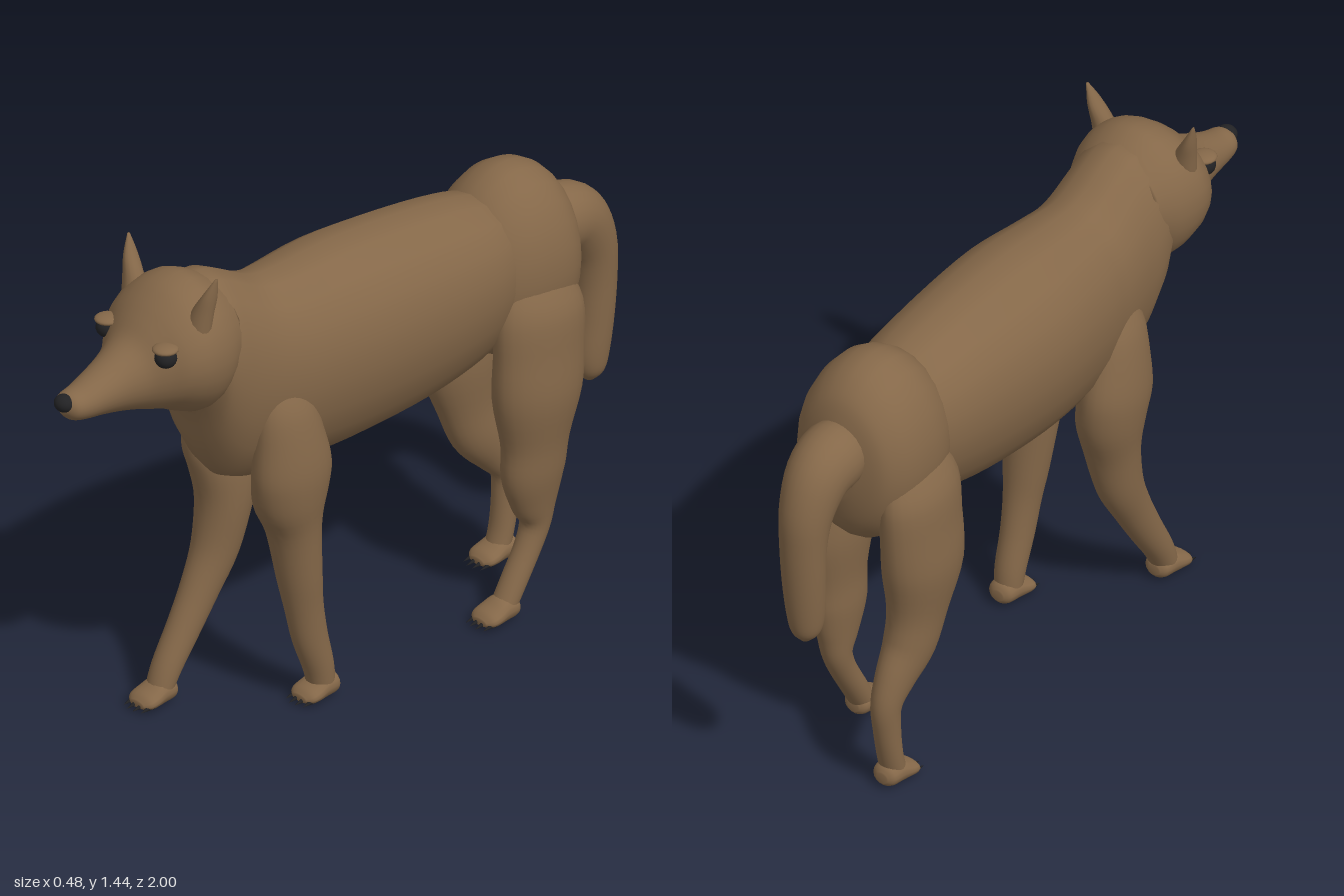
import * as THREE from 'three';

const fur = new THREE.MeshStandardMaterial({ color: 0x856849 });
fur.name = 'brown fur';
const dark = new THREE.MeshStandardMaterial({ color: 0x222224 });
dark.name = 'dark horn';

// Smooth interpolation of a list of sections, component by component
function refine(list, steps) {
  const out = [];
  const at = (i) => list[Math.max(0, Math.min(list.length - 1, i))];
  for (let i = 0; i < list.length - 1; i++) {
    for (let k = 0; k < steps; k++) {
      const t = k / steps;
      out.push(list[i].map((p1, c) => {
        const p0 = at(i - 1)[c], p2 = at(i + 1)[c], p3 = at(i + 2)[c];
        return 0.5 * (2 * p1 + (p2 - p0) * t + (2 * p0 - 5 * p1 + 4 * p2 - p3) * t * t
          + (3 * p1 - p0 - 3 * p2 + p3) * t * t * t);
      }));
    }
  }
  out.push(list[list.length - 1]);
  return out;
}

// Skin over oval sections [x, y, z, half width, half depth].
// Upright sections stay vertical; others turn with the path.
function loft(name, list, { upright = false, egg = 0, sides = 24, steps = 4 } = {}) {
  const rings = refine(list, steps);
  const pos = [], index = [], last = rings.length - 1;
  rings.forEach(([x, y, z, a, b], i) => {
    const p = rings[Math.max(0, i - 1)], q = rings[Math.min(last, i + 1)];
    const ty = q[1] - p[1], tz = q[2] - p[2], len = Math.hypot(ty, tz) || 1;
    const vy = upright ? 1 : tz / len, vz = upright ? 0 : -ty / len;
    for (let j = 0; j < sides; j++) {
      const t = (j / sides) * Math.PI * 2, s = Math.sin(t);
      pos.push(x + a * Math.cos(t) * (1 + egg * s), y + vy * b * s, z + vz * b * s);
    }
  });
  for (let i = 0; i < last; i++) {
    for (let j = 0; j < sides; j++) {
      const k = (j + 1) % sides;
      const A = i * sides + j, B = i * sides + k, C = A + sides, D = B + sides;
      index.push(A, B, C, B, D, C);
    }
  }
  // end caps
  const start = pos.length / 3;
  pos.push(...rings[0].slice(0, 3), ...rings[last].slice(0, 3));
  for (let j = 0; j < sides; j++) {
    const k = (j + 1) % sides;
    index.push(start, k, j, start + 1, last * sides + j, last * sides + k);
  }
  const g = new THREE.BufferGeometry();
  g.setAttribute('position', new THREE.Float32BufferAttribute(pos, 3));
  g.setIndex(index);
  g.computeVertexNormals();
  const m = new THREE.Mesh(g, fur);
  m.name = name;
  return m;
}

// Upright section from [z, top, bottom, half width]
const slice = (x) => ([z, top, bottom, w]) => [x, (top + bottom) / 2, z, w, (top - bottom) / 2];

function ball(name, material, x, y, z, rx, ry, rz) {
  const m = new THREE.Mesh(new THREE.SphereGeometry(1, 20, 14), material);
  m.name = name;
  m.position.set(x, y, z);
  m.scale.set(rx, ry, rz);
  return m;
}

// Leg with paw and four claws; sections are [x, y, z, half width, half depth]
function leg(name, side, sections, pawZ) {
  const g = new THREE.Group();
  g.name = name;
  g.add(loft(name + 'Limb', sections.map(([x, ...r]) => [side * x, ...r])));
  const x = side * 0.132;
  g.add(loft('paw', [
    [-0.055, 0.05, 0.02, 0.018], [-0.04, 0.07, 0.006, 0.038], [0, 0.075, 0.002, 0.045],
    [0.035, 0.058, 0.002, 0.05], [0.06, 0.045, 0.004, 0.046], [0.075, 0.03, 0.012, 0.026],
  ].map(([z, ...r]) => slice(x)([z + pawZ, ...r])), { upright: true, sides: 16 }));
  for (let i = 0; i < 4; i++) {
    const off = (i - 1.5) * 0.023;
    const claw = new THREE.Mesh(new THREE.ConeGeometry(0.01, 0.045, 8), dark);
    claw.name = 'claw';
    claw.position.set(x + off, 0.016, pawZ + 0.083 - Math.abs(off) * 0.4);
    claw.rotation.x = Math.PI / 2 + 0.2;
    g.add(claw);
  }
  return g;
}

export function createModel() {
  const model = new THREE.Group();
  model.name = 'wolf';
  const upright = true;

  // torso, chest and neck
  model.add(loft('torso', [
    [-0.56, 1.22, 0.80, 0.15], [-0.45, 1.255, 0.75, 0.185], [-0.25, 1.28, 0.705, 0.205],
    [0, 1.292, 0.685, 0.215], [0.2, 1.28, 0.685, 0.195], [0.3, 1.285, 0.685, 0.178],
    [0.4, 1.335, 0.705, 0.17], [0.46, 1.36, 0.75, 0.17], [0.505, 1.36, 0.83, 0.165],
    [0.53, 1.35, 0.93, 0.155], [0.56, 1.33, 1.0, 0.13],
  ].map(slice(0)), { upright, egg: 0.12, sides: 20 }));

  // rump
  model.add(loft('rump', [
    [-0.44, 1.18, 0.82, 0.13], [-0.5, 1.25, 0.77, 0.17], [-0.56, 1.29, 0.74, 0.19],
    [-0.62, 1.302, 0.73, 0.195], [-0.68, 1.29, 0.74, 0.19], [-0.73, 1.26, 0.77, 0.172],
    [-0.77, 1.21, 0.83, 0.135], [-0.795, 1.13, 0.93, 0.06],
  ].reverse().map(slice(0)), { upright }));

  // tail
  model.add(loft('tail', [
    [0, 1.06, -0.72, 0.08, 0.08], [0, 1.065, -0.8, 0.095, 0.1], [0, 1.035, -0.87, 0.088, 0.095],
    [0, 0.95, -0.92, 0.075, 0.078], [0, 0.85, -0.935, 0.066, 0.065], [0, 0.73, -0.932, 0.06, 0.06],
    [0, 0.62, -0.922, 0.052, 0.056], [0, 0.56, -0.922, 0.04, 0.042], [0, 0.53, -0.924, 0.012, 0.014],
  ]));

  // head and muzzle
  const head = new THREE.Group();
  head.name = 'head';
  head.add(loft('skull', [
    [0.46, 1.34, 1.04, 0.15], [0.51, 1.37, 0.99, 0.178], [0.56, 1.385, 0.975, 0.192],
    [0.62, 1.37, 0.995, 0.194], [0.67, 1.335, 1.02, 0.175], [0.71, 1.295, 1.03, 0.14],
    [0.75, 1.25, 1.04, 0.105], [0.8, 1.22, 1.05, 0.08], [0.86, 1.19, 1.06, 0.066],
    [0.92, 1.165, 1.067, 0.055], [0.96, 1.155, 1.078, 0.045], [0.98, 1.14, 1.1, 0.02],
  ].map(slice(0)), { upright, sides: 28 }));
  head.add(ball('nose', dark, 0, 1.13, 0.972, 0.03, 0.025, 0.028));
  for (const s of [1, -1]) {
    head.add(ball('eye', dark, s * 0.119, 1.224, 0.712, 0.031, 0.03, 0.032));
    head.add(ball('eyelid', fur, s * 0.117, 1.249, 0.712, 0.036, 0.013, 0.037));
    head.add(loft('ear', [
      [s * 0.125, 1.27, 0.605, 0.042, 0.036], [s * 0.14, 1.33, 0.598, 0.032, 0.03],
      [s * 0.16, 1.385, 0.59, 0.018, 0.023], [s * 0.178, 1.44, 0.582, 0.003, 0.004],
    ], { sides: 14 }));
  }
  model.add(head);

  // front legs in mid stride
  const shoulder = [
    [0.135, 1.0, 0.3, 0.03, 0.06], [0.14, 0.93, 0.3, 0.058, 0.09],
    [0.142, 0.84, 0.29, 0.075, 0.11], [0.142, 0.74, 0.28, 0.085, 0.125],
    [0.132, 0.65, 0.275, 0.088, 0.112],
  ];
  model.add(leg('leftFrontLeg', 1, [...shoulder,
    [0.125, 0.55, 0.258, 0.078, 0.078], [0.128, 0.4, 0.24, 0.064, 0.064],
    [0.13, 0.3, 0.225, 0.052, 0.056], [0.131, 0.2, 0.205, 0.046, 0.052],
    [0.132, 0.1, 0.175, 0.043, 0.044], [0.132, 0.035, 0.165, 0.04, 0.038],
  ], 0.17));
  model.add(leg('rightFrontLeg', -1, [...shoulder,
    [0.125, 0.54, 0.288, 0.078, 0.082], [0.128, 0.41, 0.315, 0.064, 0.07],
    [0.13, 0.3, 0.368, 0.052, 0.058], [0.131, 0.2, 0.425, 0.046, 0.05],
    [0.132, 0.1, 0.486, 0.043, 0.042], [0.132, 0.035, 0.515, 0.04, 0.036],
  ], 0.52));

  // hind legs in mid stride
  const thigh = [
    [0.13, 1.02, -0.62, 0.04, 0.1], [0.145, 0.92, -0.61, 0.078, 0.145],
    [0.15, 0.79, -0.605, 0.085, 0.148], [0.15, 0.66, -0.598, 0.09, 0.142],
  ];
  model.add(leg('leftHindLeg', 1, [...thigh,
    [0.145, 0.52, -0.595, 0.072, 0.108], [0.14, 0.42, -0.592, 0.066, 0.1],
    [0.135, 0.33, -0.6, 0.052, 0.074], [0.132, 0.26, -0.607, 0.042, 0.046],
    [0.132, 0.19, -0.58, 0.038, 0.038], [0.132, 0.1, -0.528, 0.038, 0.036],
    [0.132, 0.035, -0.49, 0.038, 0.034],
  ], -0.48));
  model.add(leg('rightHindLeg', -1, [...thigh,
    [0.145, 0.52, -0.615, 0.072, 0.104], [0.14, 0.42, -0.645, 0.066, 0.088],
    [0.135, 0.34, -0.7, 0.052, 0.068], [0.132, 0.27, -0.737, 0.042, 0.048],
    [0.132, 0.19, -0.735, 0.038, 0.04], [0.132, 0.1, -0.722, 0.038, 0.034],
    [0.132, 0.035, -0.705, 0.038, 0.034],
  ], -0.705));

  return model;
}
